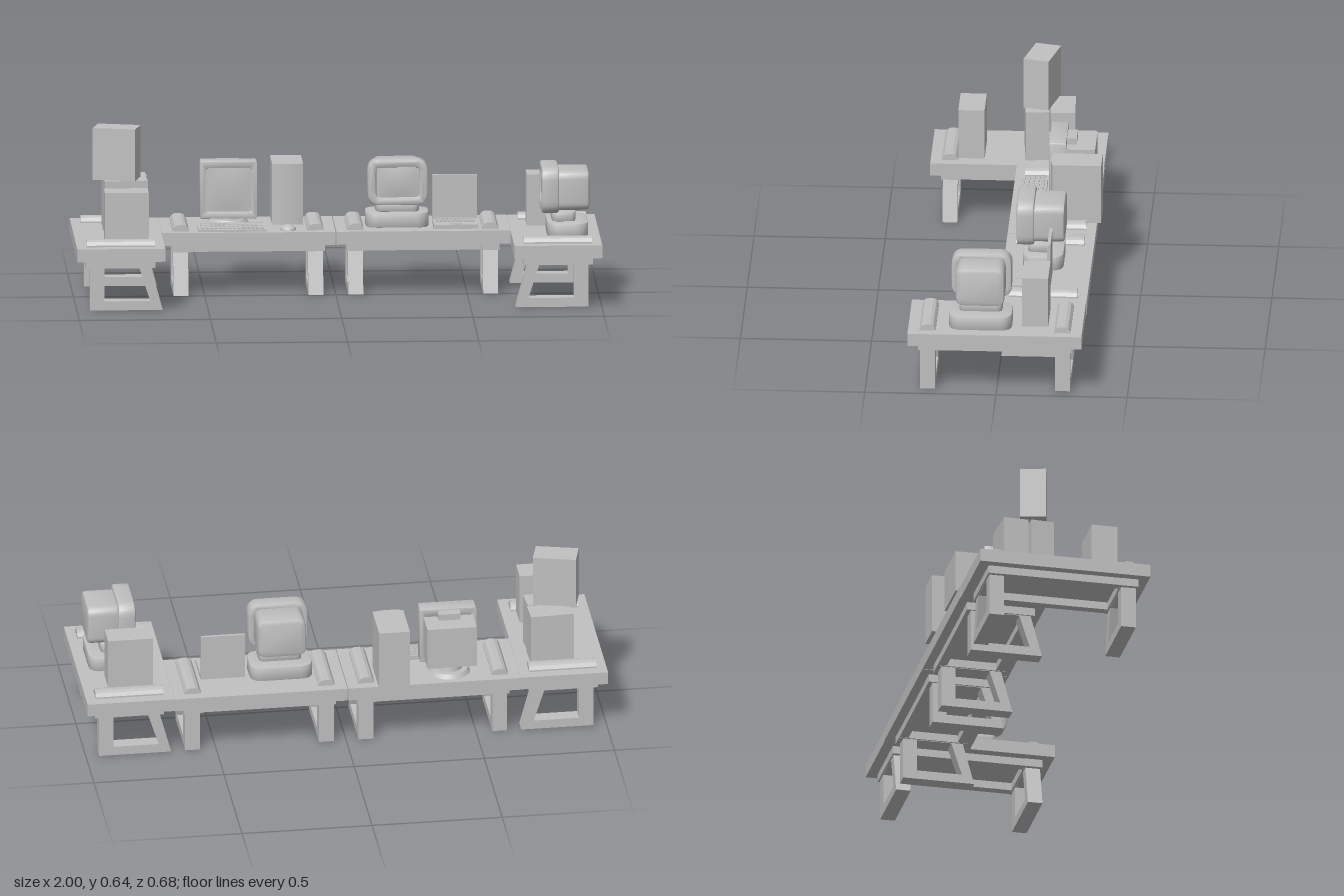
import * as THREE from 'three';
import { toCreasedNormals } from 'three/addons/utils/BufferGeometryUtils.js';

const grey = new THREE.MeshStandardMaterial({ color: 0xc0c0c0 });
grey.name = 'plain grey';

function add(parent, name, geometry, x = 0, y = 0, z = 0, ry = 0) {
  const m = new THREE.Mesh(geometry, grey);
  m.name = name;
  m.position.set(x, y, z);
  m.rotation.y = ry;
  parent.add(m);
  return m;
}

function group(parent, name, x, y, z, ry = 0) {
  const g = new THREE.Group();
  g.name = name;
  g.position.set(x, y, z);
  g.rotation.y = ry;
  parent.add(g);
  return g;
}

// Box standing on y
function box(parent, name, w, h, d, x, y, z, ry = 0) {
  return add(parent, name, new THREE.BoxGeometry(w, h, d), x, y + h / 2, z, ry);
}

function roundRect(Type, w, h, r) {
  const s = new Type(), a = w / 2, b = h / 2;
  s.moveTo(-a + r, -b);
  s.lineTo(a - r, -b).quadraticCurveTo(a, -b, a, -b + r);
  s.lineTo(a, b - r).quadraticCurveTo(a, b, a - r, b);
  s.lineTo(-a + r, b).quadraticCurveTo(-a, b, -a, b - r);
  s.lineTo(-a, -b + r).quadraticCurveTo(-a, -b, -a + r, -b);
  return s;
}

// Rounded slab facing z, centred, with optional bevel and window
function slab(w, h, d, r, bevel, hole) {
  const s = roundRect(THREE.Shape, w - 2 * bevel, h - 2 * bevel, r);
  if (hole) s.holes.push(roundRect(THREE.Path, ...hole));
  const g = new THREE.ExtrudeGeometry(s, {
    depth: d - 2 * bevel, bevelEnabled: bevel > 0, bevelSize: bevel,
    bevelThickness: bevel, bevelSegments: 2, curveSegments: 5,
  });
  g.translate(0, 0, -d / 2 + bevel);
  return toCreasedNormals(g, 0.6);
}

// Screen face bulging gently towards +z
function screen(w, h, bulge) {
  const g = new THREE.PlaneGeometry(w, h, 8, 8), p = g.attributes.position;
  for (let i = 0; i < p.count; i++) {
    const u = 2 * p.getX(i) / w, v = 2 * p.getY(i) / h;
    p.setZ(i, bulge * (1 - u * u) * (1 - v * v));
  }
  g.computeVertexNormals();
  return g;
}

// Profile in the z-y plane, swept along x
function sweep(points, length, hole) {
  const v = (list) => list.map(([a, b]) => new THREE.Vector2(a, b));
  const s = new THREE.Shape(v(points));
  if (hole) s.holes.push(new THREE.Path(v(hole)));
  const g = new THREE.ExtrudeGeometry(s, { depth: length, bevelEnabled: false });
  return g.translate(0, 0, -length / 2).rotateY(-Math.PI / 2);
}

function table(parent, name, length, x, z, ry) {
  const t = group(parent, name, x, 0, z, ry);
  box(t, 'tabletop', length, 0.05, 0.335, 0, 0.195, 0);
  for (const zr of [-0.115, 0.112]) box(t, 'rail', 0.52, 0.03, 0.035, 0, 0.165, zr);
  for (const s of [-1, 1]) {
    const xe = s * 0.257;
    box(t, 'endBeam', 0.07, 0.031, 0.265, xe, 0.164, -0.001);
    add(t, 'legFrame', sweep(
      [[-0.1175, 0], [0.16, 0], [0.115, 0.166], [-0.1175, 0.166]], 0.057,
      [[-0.0625, 0.035], [-0.0625, 0.162], [0.071, 0.162], [0.112, 0.035]]), xe);
    // Raised cap over each leg
    const cap = new THREE.Shape([[-0.031, 0], [0.031, 0], [0.031, 0.006], [0.022, 0.019],
      [0.01, 0.024], [-0.01, 0.024], [-0.022, 0.019], [-0.031, 0.006]]
      .map(([a, b]) => new THREE.Vector2(a, b)));
    add(t, 'endCap', new THREE.ExtrudeGeometry(cap, { depth: 0.26, bevelEnabled: false })
      .translate(0, 0, -0.13), xe, 0.245, 0);
  }
}

// Rounded monitor on a low base; front at z = 0, facing +z, standing on y = 0
function roundMonitor(parent, name, x, z, ry) {
  const m = group(parent, name, x, 0.245, z, ry);
  add(m, 'bezel', slab(0.23, 0.177, 0.066, 0.04, 0.008, [0.18, 0.132, 0.025]), 0, 0.179, -0.033);
  add(m, 'screen', screen(0.185, 0.137, 0.008), 0, 0.179, -0.01);
  add(m, 'casing', slab(0.185, 0.152, 0.13, 0.02, 0.012), 0, 0.176, -0.117);
  add(m, 'neck', slab(0.165, 0.09, 0.035, 0.02, 0.004).rotateX(Math.PI / 2), 0, 0.076, -0.085);
  add(m, 'base', slab(0.24, 0.155, 0.056, 0.045, 0.004).rotateX(Math.PI / 2), 0, 0.028, -0.1);
}

// Block of small keys on a deck
function keys(parent, w, d, cols, rows, y, z) {
  for (let r = 0; r < rows; r++) for (let c = 0; c < cols; c++) {
    box(parent, 'key', w / cols * 0.75, 0.006, d / rows * 0.7,
      ((c + 0.5) / cols - 0.5) * w, y, z + ((r + 0.5) / rows - 0.5) * d);
  }
}

export function createModel() {
  const model = new THREE.Group();
  model.name = 'officeDesks';
  const top = 0.245;

  table(model, 'rightWingTable', 0.663, -0.8325, 0.006, Math.PI / 2);
  table(model, 'backTableRight', 0.663, -0.333, -0.16, 0);
  table(model, 'backTableLeft', 0.663, 0.333, -0.16, 0);
  table(model, 'leftWingTable', 0.663, 0.8325, 0.006, -Math.PI / 2);

  // Cartons
  box(model, 'frontCarton', 0.167, 0.198, 0.1, -0.807, top, 0.183);
  box(model, 'rearCarton', 0.165, 0.198, 0.095, -0.8, top, -0.163, 0.04);
  box(model, 'middleCarton', 0.165, 0.198, 0.09, -0.8, top, -0.063, 0.08);
  box(model, 'topCarton', 0.165, 0.2, 0.1, -0.8325, 0.443, -0.0815, -0.245);
  box(model, 'leftCarton', 0.172, 0.198, 0.1, 0.817, top, -0.144);

  // Square monitor
  const m = group(model, 'squareMonitor', -0.403, top, -0.135);
  add(m, 'bezel', slab(0.217, 0.222, 0.065, 0.004, 0.003, [0.18, 0.175, 0.012]), 0, 0.139, -0.0325);
  add(m, 'screen', screen(0.184, 0.179, 0.006), 0, 0.139, -0.009);
  box(m, 'casing', 0.19, 0.165, 0.11, 0, 0.055, -0.12);
  box(m, 'topVent', 0.085, 0.03, 0.045, 0, 0.215, -0.08);
  add(m, 'neck', new THREE.CylinderGeometry(0.04, 0.05, 0.05, 24), 0, 0.035, -0.09);
  add(m, 'foot', new THREE.CylinderGeometry(0.07, 0.08, 0.016, 24), 0, 0.008, -0.09);

  // Keyboard with a sloping deck
  const k = group(model, 'keyboard', -0.393, top, -0.065);
  add(k, 'deck', sweep([[-0.055, 0], [0.055, 0], [0.055, 0.008], [-0.055, 0.016]], 0.26));
  const keyBed = group(k, 'keyBed', 0, 0.011, 0);
  keyBed.rotation.x = 0.072;
  keys(keyBed, 0.245, 0.095, 14, 5, 0, 0);

  // Mouse
  add(model, 'mouse', new THREE.SphereGeometry(1, 20, 10, 0, Math.PI * 2, 0, Math.PI / 2)
    .scale(0.03, 0.02, 0.038), -0.18, top, -0.053);

  // Tower with a slightly bowed front
  const tower = new THREE.Shape();
  tower.moveTo(-0.059, 0.09).lineTo(-0.059, -0.095);
  tower.quadraticCurveTo(0, -0.112, 0.059, -0.095).lineTo(0.059, 0.09);
  add(model, 'computerTower', toCreasedNormals(new THREE.ExtrudeGeometry(tower,
    { depth: 0.235, bevelEnabled: false, curveSegments: 8 }).rotateX(-Math.PI / 2), 0.5),
  -0.177, top, -0.253);

  // Rounded monitors
  roundMonitor(model, 'roundedMonitor', 0.238, -0.045, 0);
  roundMonitor(model, 'sideMonitor', 0.777, 0.063, -Math.PI / 2);

  // Open laptop
  const l = group(model, 'laptop', 0.46, top, -0.105);
  box(l, 'deck', 0.17, 0.016, 0.14, 0, 0, 0);
  keys(l, 0.15, 0.065, 10, 4, 0.016, -0.02);
  box(l, 'touchpad', 0.045, 0.003, 0.03, 0, 0.016, 0.045);
  box(l, 'lid', 0.17, 0.175, 0.012, 0, 0.01, -0.073);
  box(l, 'display', 0.15, 0.135, 0.003, 0, 0.035, -0.0665);
  return model;
}
